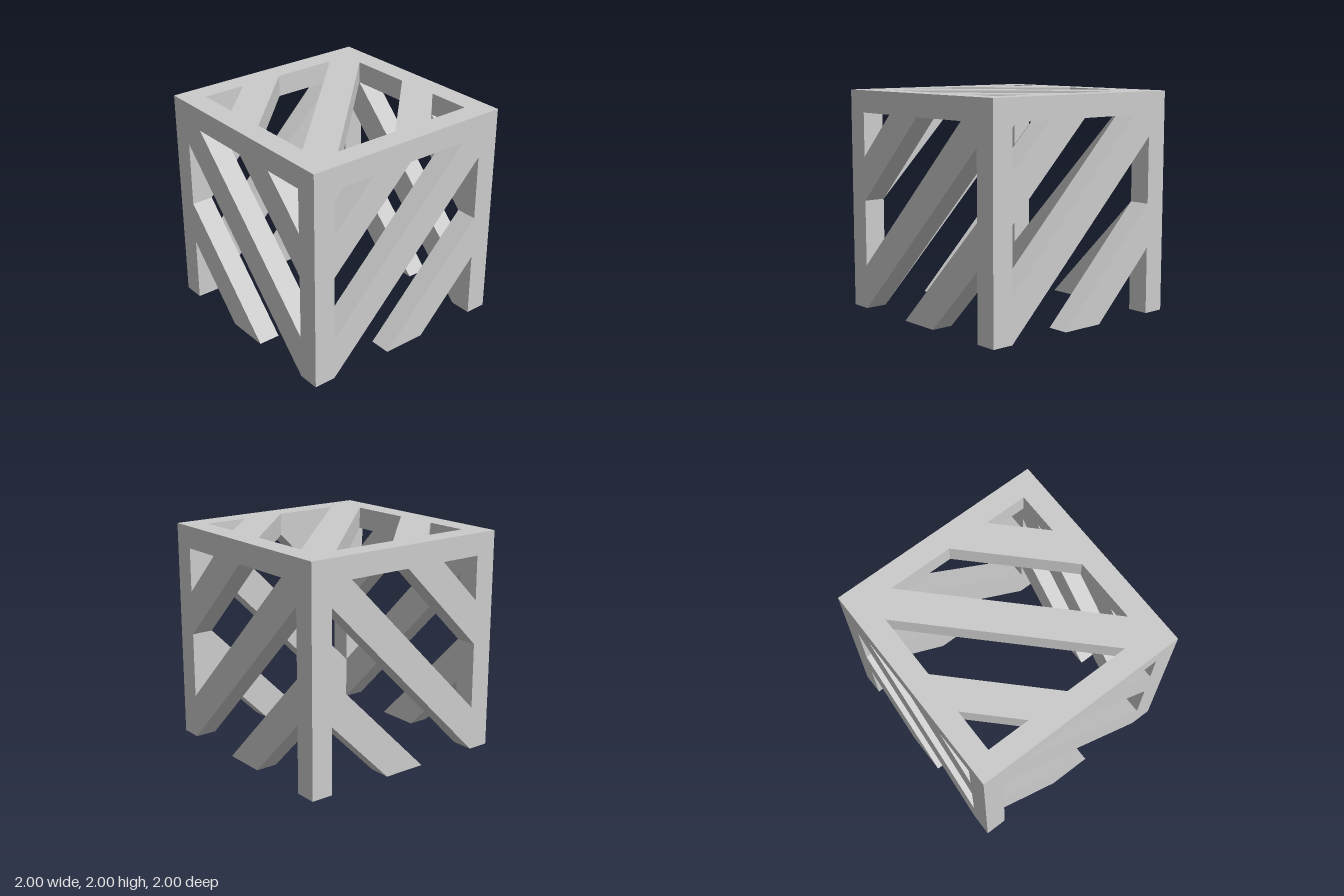
import * as THREE from 'three';

const T = 0.2; // thickness of every member
const material = new THREE.MeshStandardMaterial({ color: 0xcccccc, flatShading: true });
const polygon = (pts, Kind = THREE.Shape) => new Kind(pts.map(([x, y]) => new THREE.Vector2(x, y)));
const slab = (shape) => new THREE.ExtrudeGeometry(shape, { depth: T, bevelEnabled: false });

function add(parent, name, geometry) {
  const mesh = new THREE.Mesh(geometry, material);
  mesh.name = name;
  parent.add(mesh);
  return mesh;
}

// Diagonal struts of one wall, filling the bay between two legs
const STRUTS = {
  upperStrut: [[-0.8, 1.0], [0, 1.8], [-0.4, 1.8], [-0.8, 1.4]],
  mainStrut: [[-0.8, 0], [0.8, 1.6], [0.8, 1.8], [0.6, 1.8], [-0.8, 0.4]],
  lowerStrut: [[-0.2, 0], [0.2, 0], [0.8, 0.6], [0.8, 1.0]],
};

// Openings in the top, left between its frame and diagonals
const OPENINGS = [
  [[-0.8, 0.8], [-0.4, 0.8], [-0.8, 0.4]],
  [[-0.8, 0], [0, 0.8], [0.6, 0.8], [-0.8, -0.6]],
  [[-0.6, -0.8], [0.8, 0.6], [0.8, 0], [0, -0.8]],
  [[0.4, -0.8], [0.8, -0.4], [0.8, -0.8]],
];

export function createModel() {
  const model = new THREE.Group();
  model.name = 'slattedCubeTable';

  // Top plate with diagonal openings
  const plate = polygon([[-1, -1], [1, -1], [1, 1], [-1, 1]]);
  plate.holes = OPENINGS.map((pts) => polygon(pts, THREE.Path));
  add(model, 'top', slab(plate).rotateX(-Math.PI / 2).translate(0, 2 - T, 0));

  // Four corner legs
  for (const x of [-0.9, 0.9]) {
    for (const z of [-0.9, 0.9]) {
      add(model, 'leg', new THREE.BoxGeometry(T, 2 - T, T)).position.set(x, 1 - T / 2, z);
    }
  }

  // Two pairs of facing walls, the second pair turned a quarter
  for (const [name, angle] of [['frontAndBackStruts', 0], ['sideStruts', Math.PI / 2]]) {
    const pair = new THREE.Group();
    pair.name = name;
    pair.rotation.y = angle;
    for (const z of [-1, 1 - T]) {
      for (const [strut, pts] of Object.entries(STRUTS)) {
        add(pair, strut, slab(polygon(pts))).position.z = z;
      }
    }
    model.add(pair);
  }
  return model;
}
